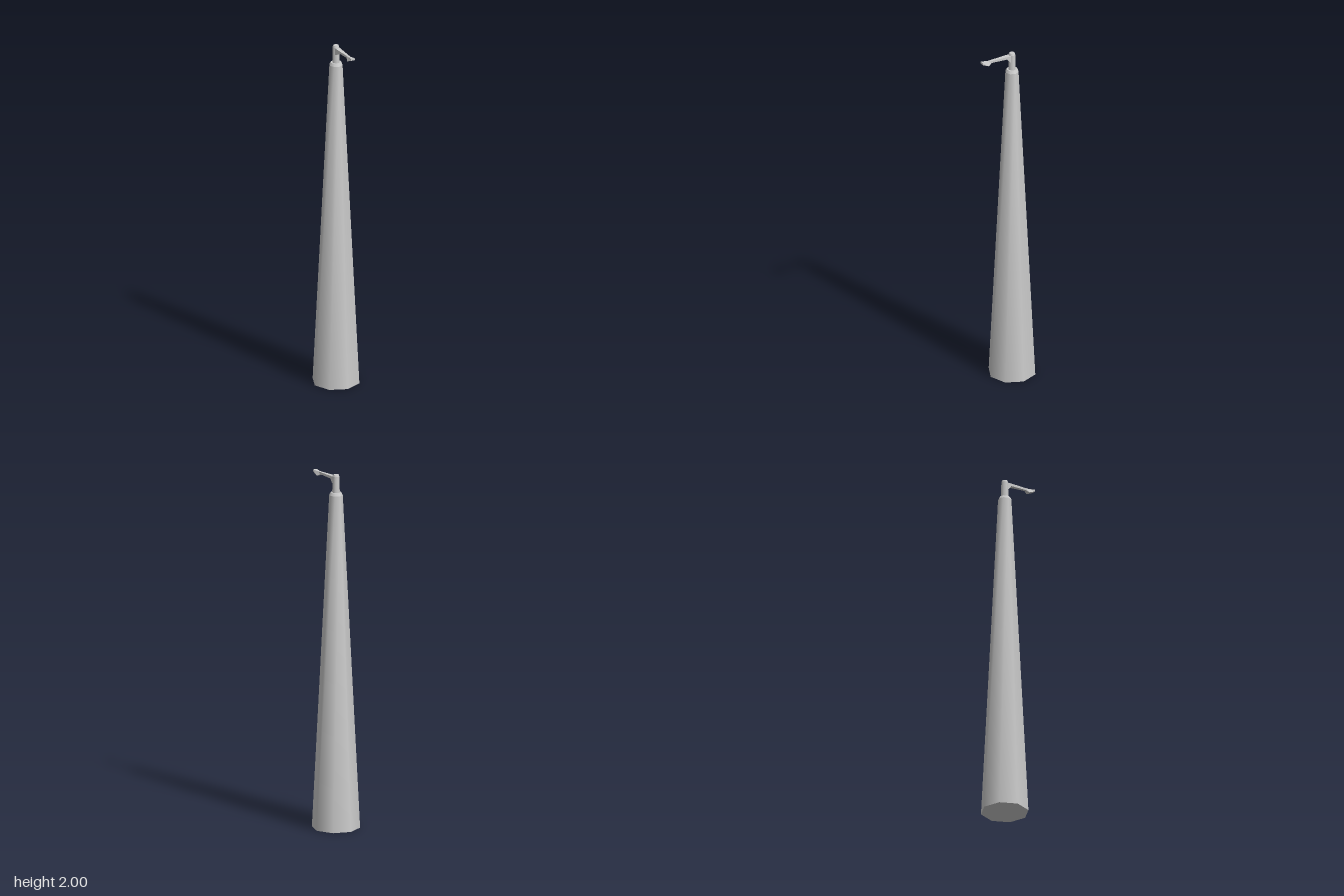
import * as THREE from 'three';

const AXIS_Z = -0.029;
const SIDES = 8;

// Loft of four-cornered sections [z, half width below, half width above, bottom y, top y], ordered back to front
function loft(sections) {
  const rings = sections.map(([z, wb, wt, y0, y1]) => [[-wb, y0, z], [wb, y0, z], [wt, y1, z], [-wt, y1, z]]);
  const positions = [];
  const quad = (a, b, c, d) => positions.push(...a, ...b, ...c, ...a, ...c, ...d);
  for (let i = 0; i < rings.length - 1; i++) {
    for (let j = 0; j < 4; j++) {
      const k = (j + 1) % 4;
      quad(rings[i][j], rings[i][k], rings[i + 1][k], rings[i + 1][j]);
    }
  }
  const first = rings[0], last = rings[rings.length - 1];
  quad(first[3], first[2], first[1], first[0]);
  quad(...last);
  const geometry = new THREE.BufferGeometry();
  geometry.setAttribute('position', new THREE.Float32BufferAttribute(positions, 3));
  geometry.computeVertexNormals();
  return geometry;
}

export function createModel() {
  const model = new THREE.Group();
  model.name = 'taperedLampPost';
  const smooth = new THREE.MeshStandardMaterial({ color: 0xcccccc });
  const faceted = new THREE.MeshStandardMaterial({ color: 0xcccccc, flatShading: true });

  const add = (name, geometry, material) => {
    const mesh = new THREE.Mesh(geometry, material);
    mesh.name = name;
    model.add(mesh);
    return mesh;
  };

  // Eight-sided column segments: name, bottom radius, top radius, bottom y, top y
  const segments = [
    ['shaft', 0.133, 0.0375, 0, 1.885],
    ['shaftShoulder', 0.0375, 0.03, 1.885, 1.9],
    ['neck', 0.021, 0.019, 1.9, 1.99],
    ['neckCap', 0.019, 0.0155, 1.99, 2],
  ];
  for (const [name, r0, r1, y0, y1] of segments) {
    const mesh = add(name, new THREE.CylinderGeometry(r1, r0, y1 - y0, SIDES), smooth);
    mesh.position.set(0, (y0 + y1) / 2, AXIS_Z);
  }

  // Tapered arm with a deeper bracket where it meets the neck
  add('arm', loft([
    [AXIS_Z, 0.014, 0.014, 1.948, 1.988],
    [-0.01, 0.013, 0.013, 1.95, 1.988],
    [0.006, 0.0125, 0.0125, 1.973, 1.988],
    [0.105, 0.007, 0.007, 1.975, 1.987],
  ]), faceted);

  // Wedge-shaped head at the end of the arm
  add('head', loft([
    [0.102, 0.007, 0.007, 1.975, 1.987],
    [0.122, 0.015, 0.006, 1.963, 1.987],
    [0.16, 0.012, 0.012, 1.979, 1.99],
  ]), faceted);

  return model;
}
